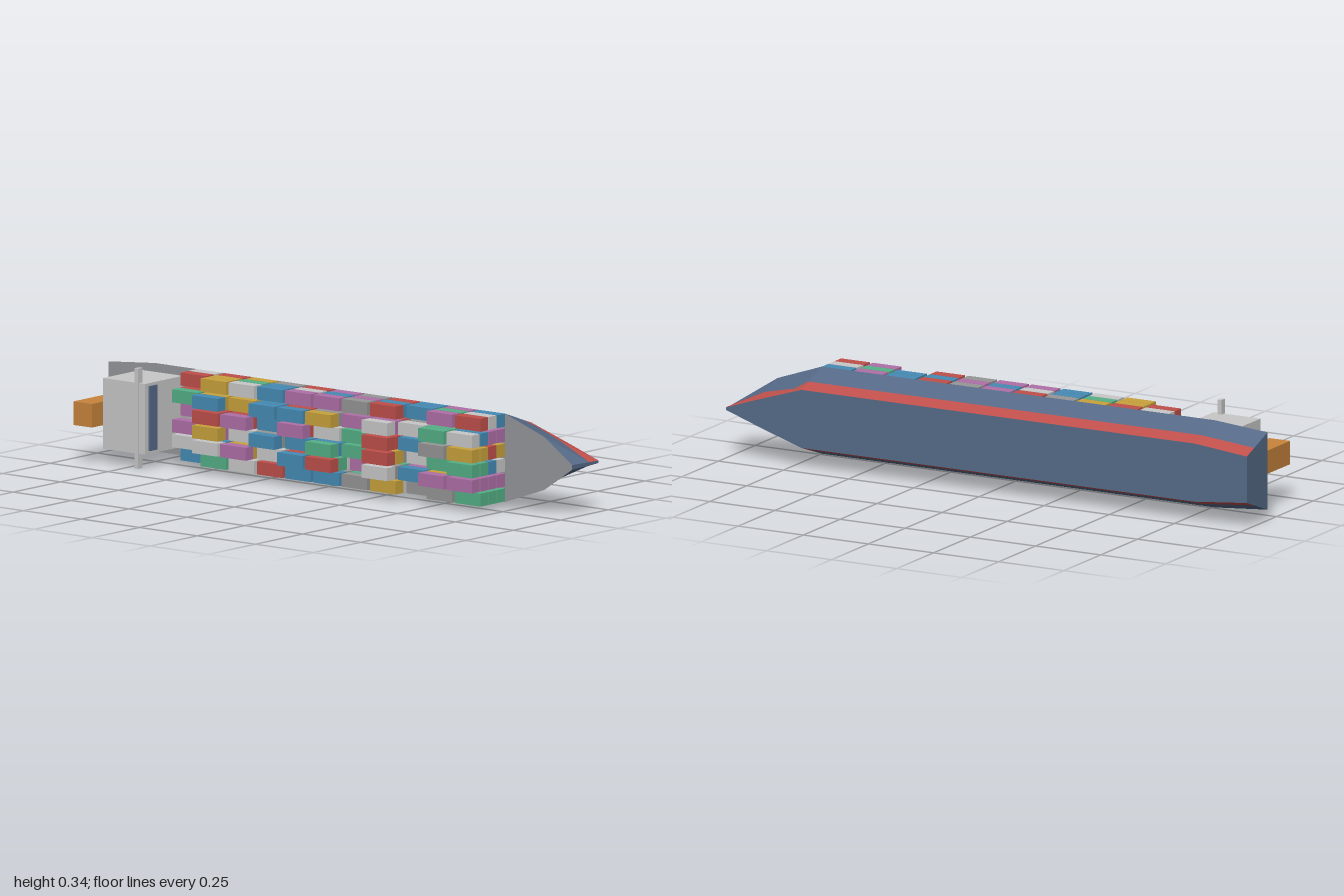
import * as THREE from 'three';

const mat = (name, color) => {
  const m = new THREE.MeshStandardMaterial({ color });
  m.name = name;
  return m;
};

export function createModel() {
  const ship = new THREE.Group();
  ship.name = 'containerShip';
  const hullBlue = mat('hullBlue', 0x566a88);
  const deckGrey = mat('deckGrey', 0x94979a);
  const funnelOrange = mat('funnelOrange', 0xc8843c);
  const paint = {
    R: mat('red', 0xc0504b), B: mat('blue', 0x468cb6), G: mat('green', 0x55b087),
    Y: mat('yellow', 0xc8a23c), P: mat('purple', 0xb070a8), W: mat('white', 0xc8c8c8),
    X: mat('grey', 0x969696),
  };
  const midY = 0.17, deckZ = -0.06, keelZ = -0.2;

  // The ship lies on its side: bow towards +x, deck facing +z.
  // Stations: x, deck half width, keel half width, top of the red band
  const stations = [
    [-1, 0.133, 0.08, -0.15], [-0.8, 0.15, 0.1, -0.15], [0.71, 0.15, 0.1, -0.15],
    [0.75, 0.136, 0.087, -0.178], [0.88, 0.09, 0.045, -0.15], [1, 0.008, 0.004, -0.15],
  ];
  const point = ([x, deck, keel], z, s) => {
    const t = (z - keelZ) / (deckZ - keelZ);
    return [x, midY + s * (keel + (deck - keel) * t), z];
  };
  const surfaces = { blue: [], red: [], deck: [] };
  const quad = (list, a, b, c, d) => list.push(...a, ...b, ...c, ...a, ...c, ...d);

  for (let i = 0; i < stations.length - 1; i++) {
    const p = stations[i], q = stations[i + 1];
    for (const s of [-1, 1]) {
      const strip = (list, p0, q0, q1, p1) => {
        const c = [point(p, p0, s), point(q, q0, s), point(q, q1, s), point(p, p1, s)];
        quad(list, ...(s < 0 ? c : c.reverse()));
      };
      strip(surfaces.red, keelZ, keelZ, q[3], p[3]);
      strip(surfaces.blue, p[3], q[3], deckZ, deckZ);
    }
    quad(surfaces.deck, point(p, deckZ, -1), point(q, deckZ, -1), point(q, deckZ, 1), point(p, deckZ, 1));
    quad(surfaces.blue, point(p, keelZ, 1), point(q, keelZ, 1), point(q, keelZ, -1), point(p, keelZ, -1));
  }
  // Transom and narrow stem
  const stern = stations[0], bow = stations[stations.length - 1];
  quad(surfaces.blue, point(stern, keelZ, 1), point(stern, keelZ, -1), point(stern, deckZ, -1), point(stern, deckZ, 1));
  quad(surfaces.blue, point(bow, keelZ, -1), point(bow, keelZ, 1), point(bow, deckZ, 1), point(bow, deckZ, -1));

  const addSurface = (name, list, material) => {
    const g = new THREE.BufferGeometry();
    g.setAttribute('position', new THREE.Float32BufferAttribute(list, 3));
    g.computeVertexNormals();
    const m = new THREE.Mesh(g, material);
    m.name = name;
    ship.add(m);
  };
  addSurface('hull', surfaces.blue, hullBlue);
  addSurface('hullBand', surfaces.red, paint.R);
  addSurface('deck', surfaces.deck, deckGrey);

  // Box given by its minimum and maximum on each axis
  const box = (name, x0, x1, y0, y1, z0, z1, material, parent = ship) => {
    const m = new THREE.Mesh(new THREE.BoxGeometry(x1 - x0, y1 - y0, z1 - z0), material);
    m.position.set((x0 + x1) / 2, (y0 + y1) / 2, (z0 + z1) / 2);
    m.name = name;
    parent.add(m);
  };
  box('deckhouse', -0.86, -0.68, 0.05, 0.29, deckZ, 0.14, paint.W);
  box('bridgeWindow', -0.681, -0.675, 0.06, 0.28, 0.08, 0.12, hullBlue);
  box('bridgeWing', -0.72, -0.705, 0, 0.34, 0.122, 0.146, paint.W);
  box('funnel', -0.94, -0.86, 0.13, 0.21, 0, 0.2, funnelOrange);

  // Containers: colour of the uppermost box and stack height, per row and bay
  const tops = ['RYWBPPXRBPR', 'GBYBBYPWWGW', 'PRPBPWGRBXY', 'PYWBBGGRWGG', 'WWPWBRPWBPP', 'BGWRBBXYXXG'];
  const heights = ['23323333233', '34344434344', '24434334344', '34343434234', '34434424343', '23333333233'];
  // Fully visible stacks, lowest box first
  const outer = ['WR', 'RYY', 'YGW', 'XBB', 'RWP', 'PBP', 'XPX', 'RBR', 'BB', 'PGP', 'BWR'];
  const foremost = ['BWR', 'PPBW', 'YRYY', 'WBGG', 'PPPP', 'GGG'];
  const codes = 'RBGYPWX';
  const cargo = new THREE.Group();
  cargo.name = 'containers';
  ship.add(cargo);
  for (let row = 0; row < 6; row++) {
    for (let bay = 0; bay < 11; bay++) {
      const stack = bay === 10 ? foremost[row] : row === 0 ? outer[bay] : null;
      const n = stack ? stack.length : Number(heights[row][bay]);
      for (let k = 0; k < n; k++) {
        const code = stack ? stack[k] : k === n - 1 ? tops[row][bay]
          : codes[(bay * 5 + row * 3 + k * 4 + bay * row) % 7];
        const x = -0.62 + bay * 0.122, y = 0.276 - row * 0.0508, z = deckZ + k * 0.0443;
        box('container', x, x + 0.11, y, y + 0.044, z, z + 0.0415, paint[code], cargo);
      }
    }
  }
  return ship;
}
